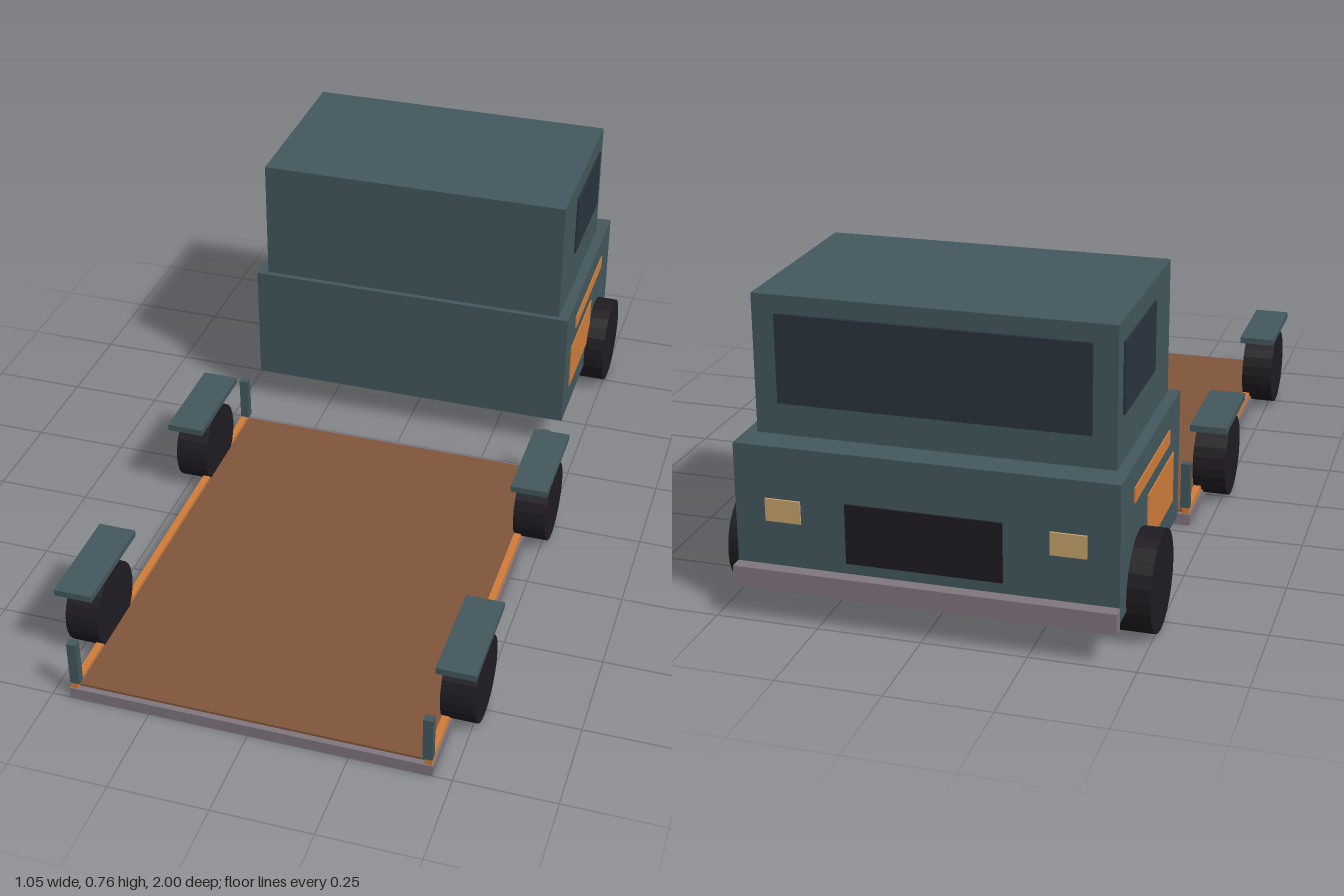
import * as THREE from 'three';

const mat = (color) => new THREE.MeshStandardMaterial({ color, flatShading: true });
const paint = mat(0x43585d);
const orange = mat(0xd07d3a);
const wood = mat(0x80563b);
const steel = mat(0x81767f);
const glass = mat(0x2a333e);
const rubber = mat(0x201c22);
const lamp = mat(0xc8a46a);

// Box given by its extents along each axis
function box(parent, name, material, [x0, x1], [y0, y1], [z0, z1]) {
  const mesh = new THREE.Mesh(new THREE.BoxGeometry(x1 - x0, y1 - y0, z1 - z0), material);
  mesh.position.set((x0 + x1) / 2, (y0 + y1) / 2, (z0 + z1) / 2);
  mesh.name = name;
  parent.add(mesh);
}

// The same box on the left (+x) and right (-x)
function pair(parent, name, material, [x0, x1], y, z) {
  box(parent, name + 'Left', material, [x0, x1], y, z);
  box(parent, name + 'Right', material, [-x1, -x0], y, z);
}

function wheelPair(parent, name, radius, [x0, x1], y, z) {
  const geometry = new THREE.CylinderGeometry(radius, radius, x1 - x0, 24).rotateZ(Math.PI / 2);
  for (const side of [1, -1]) {
    const wheel = new THREE.Mesh(geometry, rubber);
    wheel.position.set(side * (x0 + x1) / 2, y, z);
    wheel.name = name + (side > 0 ? 'Left' : 'Right');
    parent.add(wheel);
  }
}

export function createModel() {
  const model = new THREE.Group();
  model.name = 'flatbedTruck';

  // Flat load bed with side rails and corner posts
  const bed = new THREE.Group();
  bed.name = 'bed';
  model.add(bed);
  box(bed, 'bedFrame', steel, [-0.453, 0.453], [0, 0.03], [-0.21, 1]);
  box(bed, 'deck', wood, [-0.432, 0.432], [0.03, 0.036], [-0.197, 0.985]);
  pair(bed, 'sideRail', orange, [0.432, 0.45], [0.03, 0.046], [-0.205, 0.997]);
  for (const [name, z] of [['frontPost', [0.977, 0.998]], ['backPost', [-0.206, -0.185]]]) {
    pair(bed, name, paint, [0.427, 0.451], [0.046, 0.166], z);
  }

  // Bed wheels with flat mudguards above
  for (const [name, z] of [['front', 0.76], ['middle', 0.032]]) {
    wheelPair(bed, name + 'Wheel', 0.106, [0.431, 0.517], 0.107, z);
    pair(bed, name + 'Mudguard', paint, [0.427, 0.523], [0.217, 0.234], [z - 0.136, z + 0.136]);
  }

  // Cab body
  const cab = new THREE.Group();
  cab.name = 'cab';
  model.add(cab);
  box(cab, 'lowerCab', paint, [-0.452, 0.452], [0.094, 0.425], [-0.968, -0.363]);
  box(cab, 'upperCab', paint, [-0.424, 0.424], [0.425, 0.759], [-0.892, -0.378]);
  box(cab, 'bumper', steel, [-0.453, 0.453], [0.083, 0.133], [-1, -0.968]);
  wheelPair(cab, 'cabWheel', 0.121, [0.418, 0.507], 0.122, -0.787);

  // Windows
  box(cab, 'windshield', glass, [-0.368, 0.368], [0.503, 0.716], [-0.9, -0.89]);
  pair(cab, 'sideWindow', glass, [0.42, 0.429], [0.538, 0.707], [-0.846, -0.544]);

  // Trim, grille and headlights
  pair(cab, 'sideStripe', orange, [0.445, 0.455], [0.332, 0.368], [-0.846, -0.483]);
  pair(cab, 'sidePanel', orange, [0.445, 0.455], [0.165, 0.294], [-0.711, -0.437]);
  box(cab, 'grille', rubber, [-0.185, 0.185], [0.16, 0.305], [-0.973, -0.96]);
  pair(cab, 'headlight', lamp, [0.293, 0.378], [0.243, 0.298], [-0.973, -0.96]);

  return model;
}
